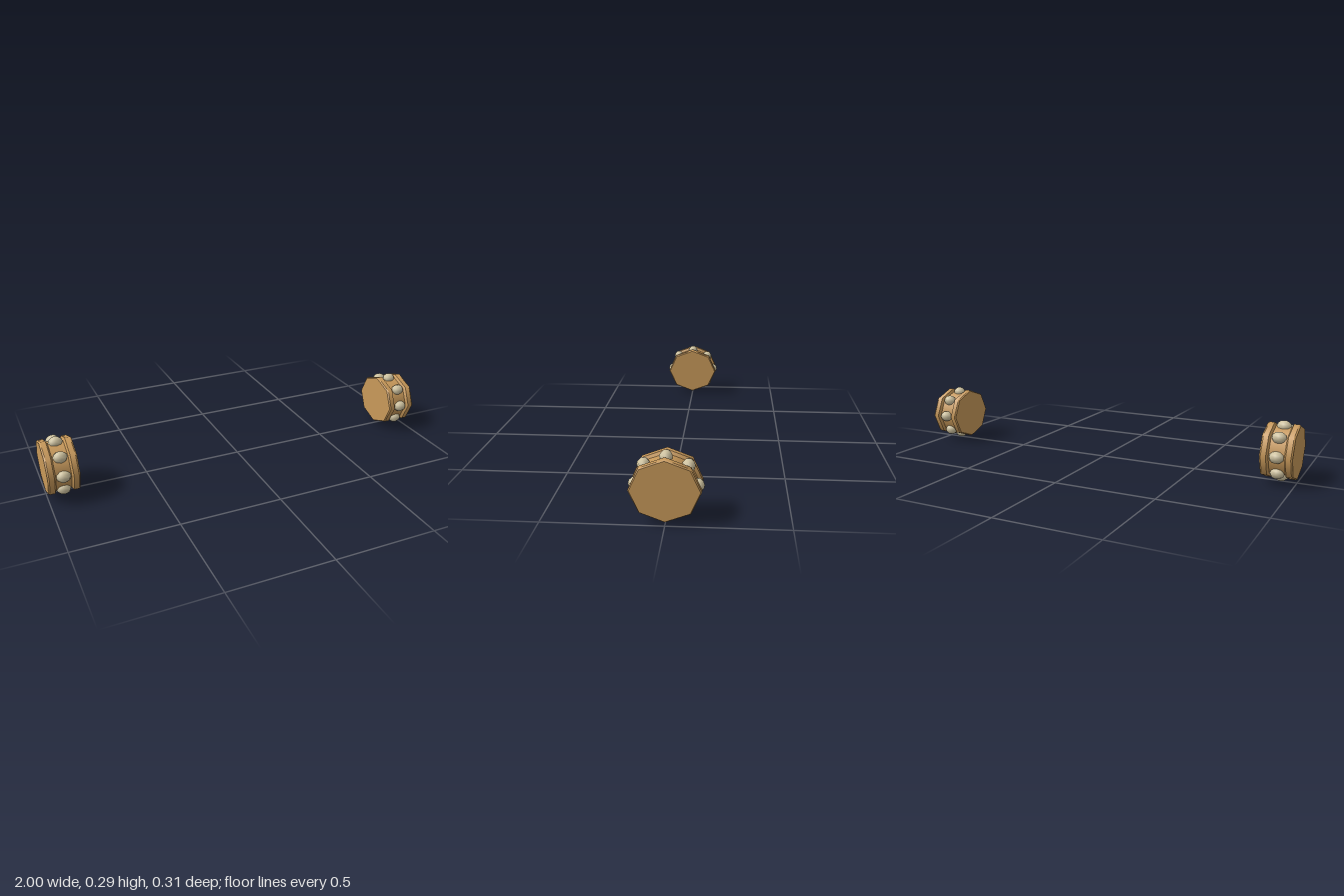
import * as THREE from 'three';
import { mergeGeometries } from 'three/addons/utils/BufferGeometryUtils.js';

const CENTRE_Y = 0.147;
const SQUASH = 0.91; // the octagon is slightly lower than it is deep

// Octagonal band: [x, radius] along its axis, with a crease at every step
const PROFILE = [
  [-0.075, 0.14], [-0.068, 0.145], [-0.044, 0.145], [-0.036, 0.13],
  [0.036, 0.13], [0.044, 0.145], [0.068, 0.145], [0.075, 0.14],
];

function bandGeometry() {
  const parts = [];
  for (let i = 0; i < PROFILE.length - 1; i++) {
    const [x0, r0] = PROFILE[i];
    const [x1, r1] = PROFILE[i + 1];
    const ring = new THREE.CylinderGeometry(r1, r0, x1 - x0, 8, 1, true);
    ring.rotateZ(-Math.PI / 2);
    ring.translate((x0 + x1) / 2, 0, 0);
    parts.push(ring);
  }
  // Closed flat ends
  for (const side of [-1, 1]) {
    const cap = new THREE.CircleGeometry(0.14, 8);
    cap.rotateY(side * Math.PI / 2);
    cap.translate(side * 0.075, 0, 0);
    parts.push(cap);
  }
  return mergeGeometries(parts).scale(1, SQUASH, 1);
}

export function createModel() {
  const leather = new THREE.MeshStandardMaterial({ color: 0xc8995a });
  leather.name = 'tan leather';
  const bone = new THREE.MeshStandardMaterial({ color: 0xcfc3a0 });
  bone.name = 'pale stud';

  const model = new THREE.Group();
  model.name = 'studdedCuffs';
  const band = bandGeometry();
  const studShape = new THREE.SphereGeometry(1, 8, 6);

  for (const side of [-1, 1]) {
    const cuff = new THREE.Group();
    cuff.name = side > 0 ? 'leftCuff' : 'rightCuff';
    cuff.position.set(side * 0.925, CENTRE_Y, 0);

    const bandMesh = new THREE.Mesh(band, leather);
    bandMesh.name = 'band';
    cuff.add(bandMesh);

    // One rounded stud on each corner of the octagon
    for (let i = 0; i < 8; i++) {
      const a = (i * Math.PI) / 4;
      const stud = new THREE.Mesh(studShape, bone);
      stud.name = 'stud';
      stud.scale.set(0.035, 0.028, 0.027);
      stud.position.set(0, Math.cos(a) * 0.117, Math.sin(a) * 0.126);
      cuff.add(stud);
    }
    model.add(cuff);
  }
  return model;
}
